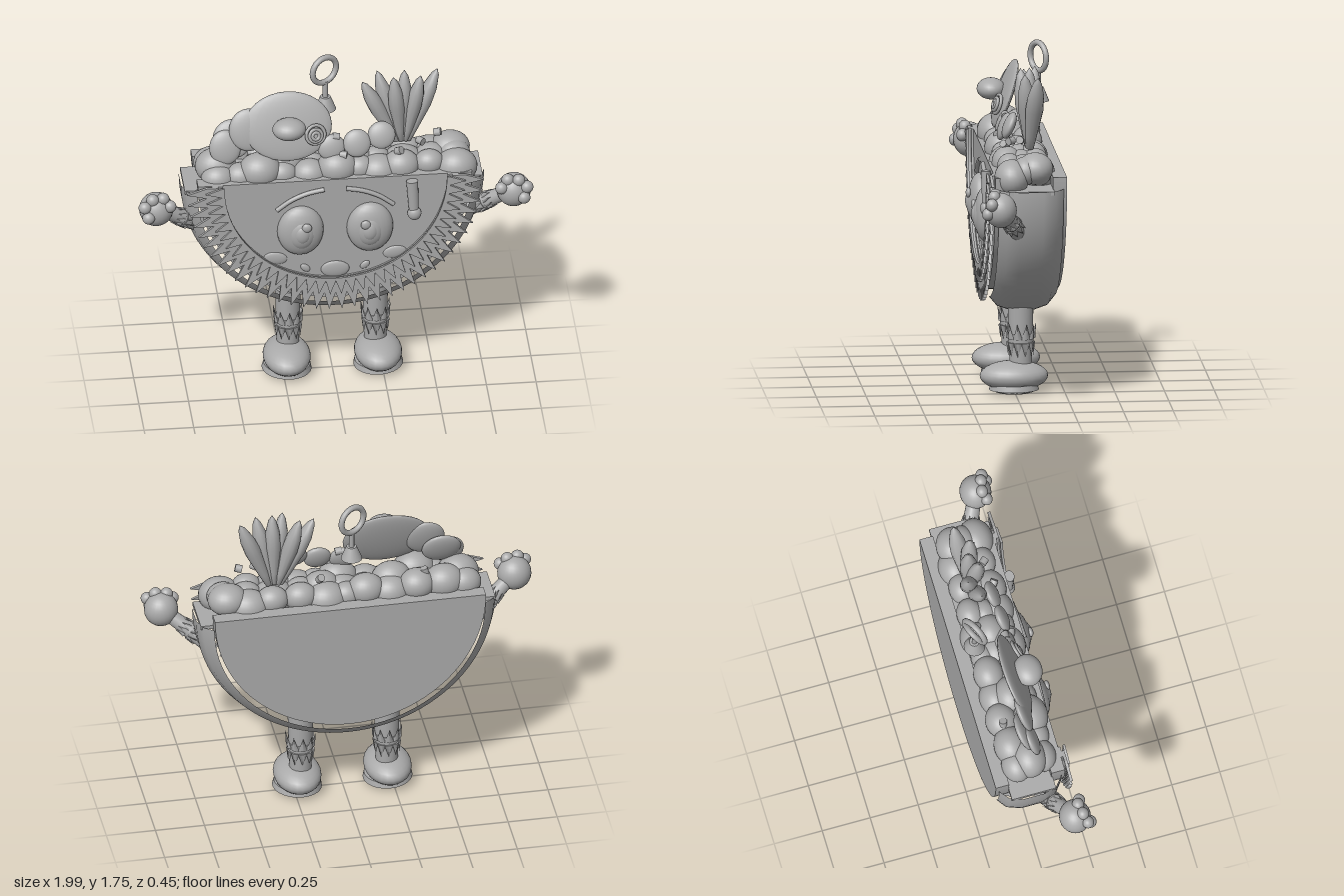
import * as THREE from 'three';

const grey = new THREE.MeshStandardMaterial({ color: 0xaaaaaa });
grey.name = 'plain grey';

export function createModel() {
  const model = new THREE.Group();
  const add = (name, geo, pos = [0, 0, 0], scale = [1, 1, 1], rot = [0, 0, 0], parent = model) => {
    const m = new THREE.Mesh(geo, grey);
    m.name = name;
    m.position.set(...pos);
    m.scale.set(...scale);
    m.rotation.set(...rot);
    parent.add(m);
    return m;
  };
  const ball = new THREE.SphereGeometry(1, 24, 16);
  const blob = (name, pos, scale, rot, parent) => add(name, ball, pos, scale, rot, parent);
  const extrude = (shape, depth) =>
    new THREE.ExtrudeGeometry(shape, { depth, bevelEnabled: false, curveSegments: 48 });
  const up = new THREE.Vector3(0, 1, 0);

  // Curved shell between the two flat panels, closed at the top
  const profile = [[0.69, -0.205], [0.74, -0.165], [0.763, -0.1], [0.763, 0.015], [0.74, 0.08], [0.69, 0.12]]
    .map(([r, h]) => new THREE.Vector2(r, h));
  const shell = new THREE.LatheGeometry(profile, 48, -Math.PI / 2, Math.PI);
  shell.rotateX(Math.PI / 2);
  add('shell', shell, [0, 1.13, 0], [1, 0.967, 1]);
  add('shellTop', new THREE.BoxGeometry(1.5, 0.02, 0.23), [0, 1.12, -0.04]);

  const half = new THREE.Shape();
  half.absarc(0, 0, 0.69, Math.PI, Math.PI * 2, false);
  half.closePath();
  add('frontPanel', extrude(half, 0.07), [0, 1.19, 0.068]);
  add('backPanel', extrude(half, 0.07), [0, 1.19, -0.222]);

  // Two layers of toothed trim around the front panel
  const toothedRing = (inner, valley, tip, count) => {
    const s = new THREE.Shape();
    const at = (r, a) => [r * Math.cos(a), r * Math.sin(a)];
    s.moveTo(-inner, 0);
    for (let i = 0; i <= count * 2; i++) {
      s.lineTo(...at(i % 2 ? tip : valley, Math.PI * (1 + i / (count * 2))));
    }
    s.lineTo(inner, 0);
    s.absarc(0, 0, inner, Math.PI * 2, Math.PI, true);
    return s;
  };
  add('outerTrim', extrude(toothedRing(0.59, 0.65, 0.748, 36), 0.015), [0, 1.19, 0.148]);
  add('innerTrim', extrude(toothedRing(0.56, 0.575, 0.655, 36), 0.012), [0, 1.19, 0.163]);
  add('trimBacking', extrude(toothedRing(0.565, 0.62, 0.62, 36), 0.012), [0, 1.19, 0.137]);

  // Face
  for (const s of [-1, 1]) {
    blob('eye', [s * 0.175, 0.905, 0.14], [0.117, 0.14, 0.06]);
    blob('iris', [s * 0.172, 0.9, 0.165], [0.072, 0.09, 0.044]);
    blob('pupil', [s * 0.17, 0.905, 0.18], [0.045, 0.058, 0.035]);
    blob('eyeGlint', [s * 0.17 + (s < 0 ? 0.022 : -0.022), 0.95, 0.2], [0.025, 0.025, 0.014]);
    blob('cheek', [s * 0.3, 0.745, 0.137], [0.06, 0.035, 0.012], [0, 0, s * 0.15]);
    blob('freckle', [s * 0.15, 0.68, 0.138], [0.028, 0.018, 0.01], [0, 0, s * 0.7]);
    const brow = new THREE.CatmullRomCurve3([
      new THREE.Vector3(s * 0.295, 1.03, 0), new THREE.Vector3(s * 0.22, 1.085, 0),
      new THREE.Vector3(s * 0.14, 1.12, 0), new THREE.Vector3(s * 0.055, 1.138, 0)]);
    add('brow', new THREE.TubeGeometry(brow, 20, 0.012, 8), [0, 0, 0.145]);
  }
  blob('mouth', [0, 0.665, 0.138], [0.072, 0.046, 0.014]);
  add('drip', new THREE.CylinderGeometry(0.03, 0.024, 0.18, 16), [0.39, 1.08, 0.16], [1, 1, 0.8], [0, 0, 0.05]);
  blob('dripEnd', [0.397, 0.98, 0.16], [0.035, 0.037, 0.03]);

  // Ragged cuff with points up and down its own axis
  const cuff = (name, radius, parent) => {
    const g = new THREE.Group();
    g.name = name;
    const n = 10;
    add('cuffBand', new THREE.CylinderGeometry(radius * 1.1, radius * 1.05, 0.06, 20), [0, 0, 0], [1, 1, 1], [0, 0, 0], g);
    const spike = new THREE.ConeGeometry(0.024, 0.08, 4);
    for (let i = 0; i < n; i++) {
      const pivot = new THREE.Group();
      pivot.rotation.y = (i / n) * Math.PI * 2;
      add('upperPoint', spike, [0, 0.045, radius * 1.18], [1, 1, 0.4], [0.17, 0, 0], pivot);
      add('lowerPoint', spike, [0, -0.05, radius * 1.05], [1, 0.9, 0.4], [Math.PI, 0, 0], pivot);
      g.add(pivot);
    }
    parent.add(g);
    return g;
  };

  for (const s of [-1, 1]) {
    // Leg, cuff, shoe and sole
    const leg = new THREE.Group();
    leg.name = s > 0 ? 'leftLeg' : 'rightLeg';
    leg.position.set(s * 0.22, 0, 0);
    add('legColumn', new THREE.CylinderGeometry(0.065, 0.056, 0.34, 20), [0, 0.3, -0.03], [1, 1, 1], [0, 0, 0], leg);
    cuff('legCuff', 0.06, leg).position.set(0, 0.275, -0.03);
    blob('shoe', [s * 0.01, 0.09, 0.005], [0.12, 0.075, 0.172], [0, 0, 0], leg);
    add('sole', new THREE.CylinderGeometry(0.118, 0.125, 0.03, 32), [s * 0.01, 0.034, 0.005], [1, 1, 1], [0, 0, s * 0.04], leg);
    blob('soleBase', [s * 0.01, 0.02, 0.005], [0.11, 0.02, 0.11], [0, 0, 0], leg);
    model.add(leg);

    // Arm with cuff and hand
    const a = new THREE.Vector3(s * 0.9, 1.07, 0.13);
    const b = new THREE.Vector3(s * 0.68, 0.91, 0.02);
    const arm = new THREE.Group();
    arm.name = s > 0 ? 'leftArm' : 'rightArm';
    arm.position.copy(a);
    arm.quaternion.setFromUnitVectors(up, b.clone().sub(a).normalize());
    const length = a.distanceTo(b);
    add('forearm', new THREE.CylinderGeometry(0.045, 0.034, length, 16), [0, length / 2, 0], [1, 1, 1], [0, 0, 0], arm);
    const c = cuff('armCuff', 0.055, arm);
    c.position.y = 0.18;
    c.scale.setScalar(0.72);
    model.add(arm);
    blob('palm', a.toArray(), [0.086, 0.088, 0.08]);
    for (const [x, y, z] of [[0.062, 0.04, 0.05], [0.022, 0.073, 0.035], [-0.032, 0.072, 0.025], [-0.065, 0.035, 0.04], [0.045, -0.01, 0.068]]) {
      blob('finger', [a.x + s * x, a.y + y, a.z + z], [0.032, 0.032, 0.03]);
    }
  }

  // Lumpy filling along the open top
  for (let row = 0; row < 3; row++) {
    for (let i = 0; i < 11; i++) {
      const r = 0.078 + 0.015 * Math.sin(i * 2.3 + row * 1.7);
      const x = -0.6 + i * 0.12 + 0.02 * Math.sin(i * 5 + row);
      blob('filling', [x, 1.195 + 0.02 * Math.sin(i * 1.9 + row * 2), -0.09 + row * 0.07], [r * 1.15, r, r * 0.95]);
    }
  }
  blob('filling', [0.6, 1.22, -0.07], [0.1, 0.08, 0.09]);
  blob('filling', [-0.36, 1.22, -0.1], [0.09, 0.08, 0.08]);

  // Slices leaning on the filling: [x, y, z, rx, ry, tilt]
  const slices = [
    [-0.225, 1.44, 0.01, 0.222, 0.178, -0.35], [-0.42, 1.425, 0, 0.1, 0.11, -0.3],
    [-0.5, 1.365, -0.02, 0.1, 0.1, -0.4], [-0.54, 1.335, 0.01, 0.08, 0.09, -0.3],
    [-0.01, 1.325, 0.045, 0.07, 0.068, -0.3], [0.12, 1.34, 0.045, 0.07, 0.072, -0.35],
    [0.245, 1.37, 0.03, 0.07, 0.07, -0.4],
  ];
  for (const [x, y, z, rx, ry, tilt] of slices) blob('slice', [x, y, z], [rx, ry, 0.028], [tilt, 0, 0]);
  blob('berry', [-0.225, 1.465, 0.08], [0.085, 0.054, 0.072]);
  for (const [r, z] of [[0.048, 0.06], [0.032, 0.07], [0.018, 0.075]]) {
    add('curl', new THREE.TorusGeometry(r, 0.009, 8, 24), [-0.09, 1.412, z], [1, 1, 1], [-0.3, 0.2, 0]);
  }

  // Fan of pointed leaves: tip positions
  const leafProfile = [[0, 0], [0.018, 0.03], [0.026, 0.2], [0.041, 0.55], [0.037, 0.75], [0.02, 0.92], [0, 1]]
    .map(([r, h]) => new THREE.Vector2(r, h));
  const leafGeo = new THREE.LatheGeometry(leafProfile, 12);
  const tips = [[0.155, 1.64, -0.05], [0.235, 1.67, -0.1], [0.31, 1.675, -0.02], [0.37, 1.69, -0.06], [0.45, 1.67, -0.03], [0.54, 1.67, -0.09]];
  for (const [x, y, z] of tips) {
    const base = new THREE.Vector3(0.36 + (x - 0.36) * 0.12, 1.27, -0.06);
    const dir = new THREE.Vector3(x, y, z).sub(base);
    const leaf = add('leaf', leafGeo, base.toArray(), [1, dir.length(), 1.1]);
    leaf.quaternion.setFromUnitVectors(up, dir.normalize());
  }

  // Hanging ring with stem and bell
  add('hangingRing', new THREE.TorusGeometry(0.071, 0.015, 10, 32), [-0.025, 1.665, -0.14], [1, 1, 1], [0, 0.5, 0]);
  add('ringStem', new THREE.CylinderGeometry(0.014, 0.014, 0.1, 12), [-0.02, 1.55, -0.14]);
  add('bell', new THREE.CylinderGeometry(0.026, 0.054, 0.07, 20), [-0.02, 1.475, -0.14]);

  // Scattered crumbs
  const crumb = new THREE.CylinderGeometry(0.02, 0.02, 0.035, 10);
  const crumbs = [[0.015, 1.375, 0.03], [0.53, 1.352, 0.0], [0.44, 1.33, 0.04], [0.13, 1.3, -0.09], [-0.4, 1.29, -0.1], [0.33, 1.29, 0.06], [0.05, 1.29, 0.07]];
  crumbs.forEach((p, i) => add('crumb', crumb, p, [1, 1, 1], [i * 0.8, 0, 1.4 + i * 0.5]));

  return model;
}
